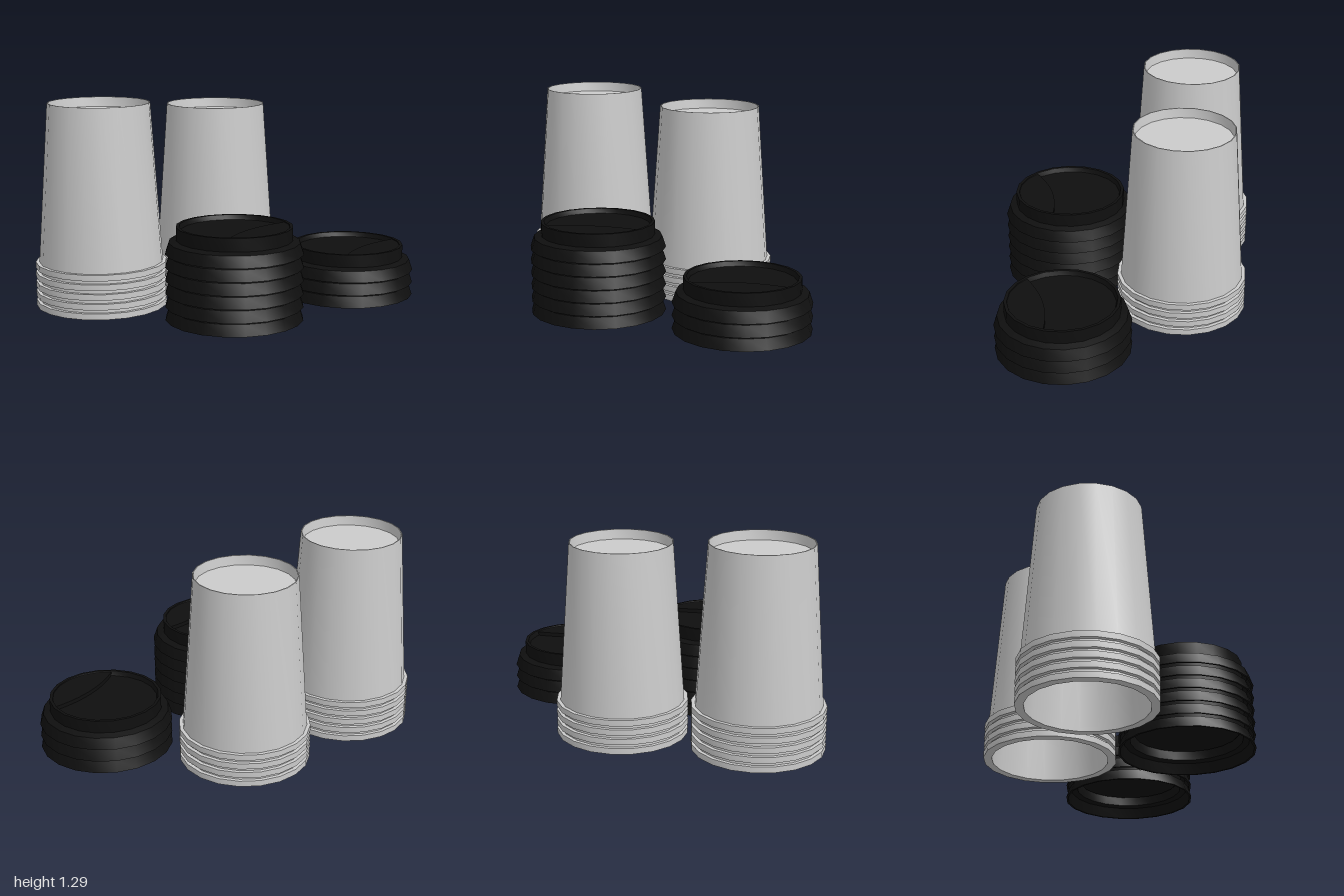
import * as THREE from 'three';
import { toCreasedNormals } from 'three/addons/utils/BufferGeometryUtils.js';

const SIDES = 20;
const FLAT = 1 / Math.cos(Math.PI / SIDES); // radii are measured to the flat sides

// Turned 20-sided body; the profile runs down the inside and up the outside
function turned(profile) {
  const points = profile.map(([r, y]) => new THREE.Vector2(r * FLAT, y));
  const geometry = new THREE.LatheGeometry(points, SIDES, Math.PI / SIDES);
  return toCreasedNormals(geometry, 0.5);
}

function addMesh(parent, name, geometry, material) {
  const mesh = new THREE.Mesh(geometry, material);
  mesh.name = name;
  parent.add(mesh);
  return mesh;
}

export function createModel() {
  const model = new THREE.Group();
  model.name = 'cupsAndLids';
  const paper = new THREE.MeshStandardMaterial({ color: 0xcccccc });
  const plastic = new THREE.MeshStandardMaterial({ color: 0x0f0f0f });

  // Upside-down cup: inner wall, rolled rim, tapered outside, recessed base
  const cupGeometry = turned([
    [0, 0.97], [0.3, 0.97], [0.36, 0],
    [0.411, 0], [0.411, 0.038], [0.388, 0.038],
    [0.318, 1.047], [0.312, 1.047], [0.304, 0.985], [0, 0.985],
  ]);

  // Lid: flared skirt, shoulder, raised collar and sunken top
  const lidGeometry = turned([
    [0, 0.125], [0.325, 0.125], [0.34, 0.158], [0.346, 0.158],
    [0.346, 0.075], [0.385, 0.066], [0.408, 0],
    [0.421, 0], [0.398, 0.07], [0.354, 0.083],
    [0.354, 0.165], [0.335, 0.165], [0.325, 0.135], [0, 0.135],
  ]);

  // Raised drinking ledge along the front of the sunken top
  const ledge = new THREE.Shape();
  ledge.moveTo(-0.29, 0.17);
  ledge.quadraticCurveTo(0, 0.07, 0.29, 0.17);
  ledge.absarc(0, 0, 0.336, Math.atan2(0.17, 0.29), Math.PI - Math.atan2(0.17, 0.29), false);
  const ledgeGeometry = new THREE.ExtrudeGeometry(ledge, { depth: 0.027, bevelEnabled: false, curveSegments: 10 });
  ledgeGeometry.rotateX(Math.PI / 2).translate(0, 0.16, 0);

  function cupStack(name, count, x, z) {
    const stack = new THREE.Group();
    stack.name = name;
    stack.position.set(x, 0, z);
    for (let i = 0; i < count; i++) {
      addMesh(stack, 'cup', cupGeometry, paper).position.y = i * 0.0608;
    }
    model.add(stack);
  }

  function lidStack(name, count, x, z) {
    const stack = new THREE.Group();
    stack.name = name;
    stack.position.set(x, 0, z);
    for (let i = 0; i < count; i++) {
      const lid = new THREE.Group();
      lid.name = 'lid';
      lid.position.y = i * 0.0822;
      addMesh(lid, 'lidShell', lidGeometry, plastic);
      addMesh(lid, 'drinkingLedge', ledgeGeometry, plastic);
      stack.add(lid);
    }
    model.add(stack);
  }

  cupStack('tallCupStack', 5, -0.588, -0.568);
  cupStack('shortCupStack', 4, 0.248, -0.287);
  lidStack('tallLidStack', 6, -0.365, 0.32);
  lidStack('shortLidStack', 3, 0.577, 0.557);
  return model;
}
